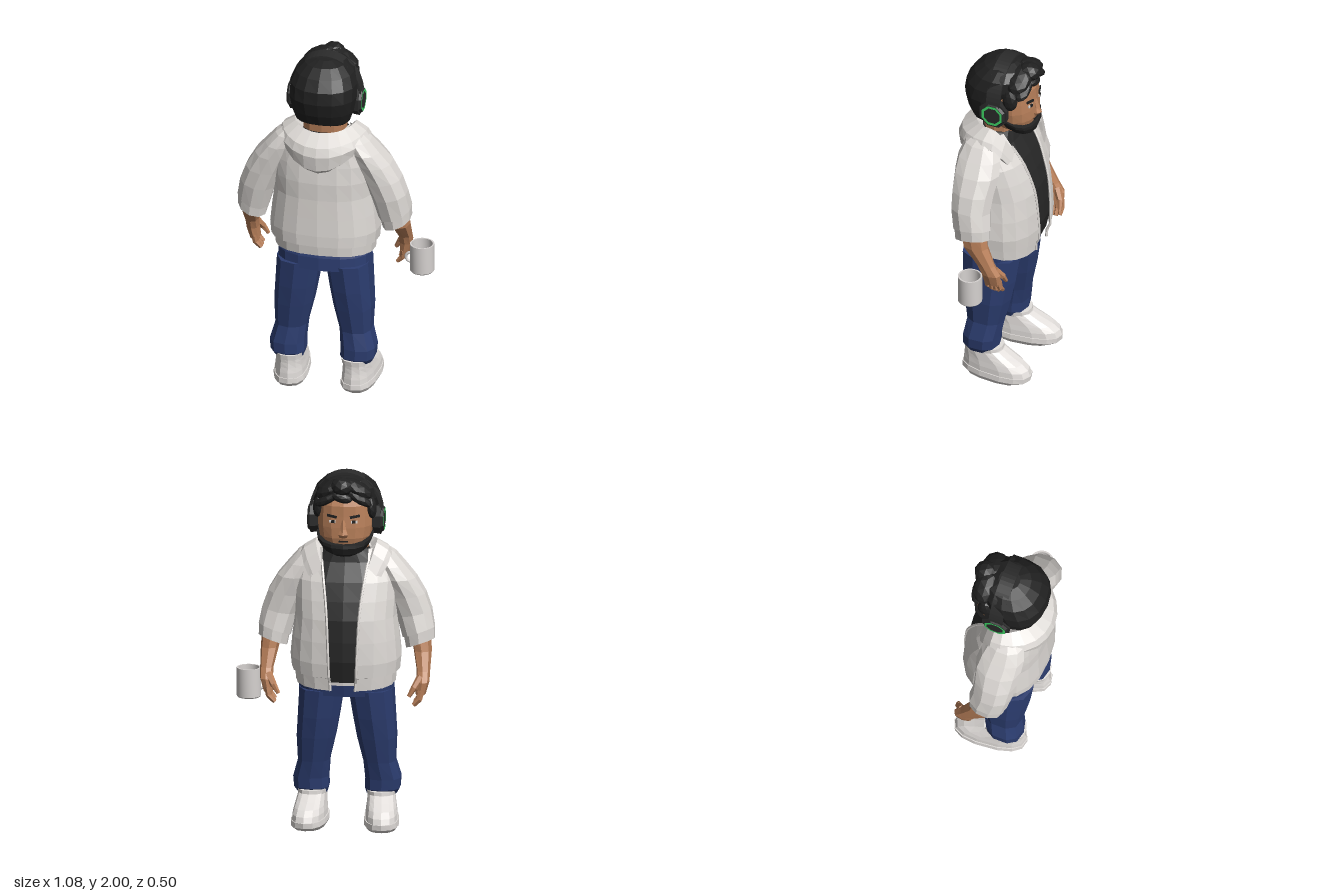
import * as THREE from 'three';
import { toCreasedNormals } from 'three/addons/utils/BufferGeometryUtils.js';

const mat = (name, color, side = THREE.FrontSide) => {
  const m = new THREE.MeshStandardMaterial({ color, side });
  m.name = name;
  return m;
};

// Closed or open cross-section at height y; angle 0 faces -z and turns towards +x
const spow = (v, e) => Math.sign(v) * Math.abs(v) ** e;
function ring(y, cx, rx, zb, zf, { n = 12, p = 2.4, tx = 0, tz = 0, from = 0, to = Math.PI * 2 } = {}) {
  const cz = (zb + zf) / 2, rz = (zb - zf) / 2, open = to - from < 6.28;
  return Array.from({ length: open ? n + 1 : n }, (_, i) => {
    const t = from + (to - from) * i / n;
    const x = rx * spow(Math.sin(t), 2 / p), z = -rz * spow(Math.cos(t), 2 / p);
    return new THREE.Vector3(cx + x, y + tx * x + tz * z, cz + z);
  });
}

// Faceted skin over cross-sections listed from bottom to top
function loft(rows, closed = true) {
  const pos = [], tri = (...v) => v.forEach(q => pos.push(q.x, q.y, q.z));
  const n = rows[0].length, m = closed ? n : n - 1;
  for (let i = 0; i < rows.length - 1; i++) for (let j = 0; j < m; j++) {
    const k = (j + 1) % n, a = rows[i][j], b = rows[i][k], c = rows[i + 1][k], d = rows[i + 1][j];
    tri(a, c, b);
    tri(a, d, c);
  }
  if (closed) [rows[0], rows[rows.length - 1]].forEach((r, top) => {
    const c = r.reduce((s, v) => s.add(v), new THREE.Vector3()).divideScalar(n);
    r.forEach((a, j) => { const b = r[(j + 1) % n]; top ? tri(b, a, c) : tri(a, b, c); });
  });
  const g = new THREE.BufferGeometry();
  g.setAttribute('position', new THREE.Float32BufferAttribute(pos, 3));
  g.computeVertexNormals();
  return g;
}

const flat = g => {
  const f = g.index ? g.toNonIndexed() : g;
  f.computeVertexNormals();
  return f;
};

export function createModel() {
  const hoodie = mat('hoodie fabric', 0xdcd8d4, THREE.DoubleSide);
  const shoeMat = mat('shoe white', 0xe2dedb);
  const jeans = mat('denim', 0x2c3d70);
  const skin = mat('skin', 0xb9805a);
  const hair = mat('hair', 0x202020);
  const shirtMat = mat('shirt black', 0x262626);
  const phones = mat('headphone black', 0x2b2b2b);
  const green = mat('green light', 0x40d868);
  const mugMat = mat('mug ceramic', 0xd6d2d0);

  const model = new THREE.Group(), person = new THREE.Group();
  model.name = 'figureWithMug';
  person.name = 'person';
  person.position.x = -0.055;
  model.add(person);
  const add = (name, geo, material, parent = person) => {
    const m = new THREE.Mesh(geo, material);
    m.name = name;
    parent.add(m);
    return m;
  };
  // Each row: y, centre x, half width, back z, front z, optional tilt
  const body = (name, rows, material, opt) =>
    add(name, loft(rows.map(([y, cx, rx, zb, zf, tilt]) => ring(y, cx, rx, zb, zf, { ...opt, ...tilt }))), material);
  const limb = (name, a, b, r0, r1, material) => {
    const A = new THREE.Vector3(...a), B = new THREE.Vector3(...b), d = B.clone().sub(A);
    const m = add(name, flat(new THREE.CylinderGeometry(r1, r0, d.length(), 6)), material);
    m.position.copy(A).add(B).multiplyScalar(0.5);
    m.quaternion.setFromUnitVectors(new THREE.Vector3(0, 1, 0), d.normalize());
  };

  // Trousers, and the pale hem showing below the shirt
  body('hips', [[0.755, 0, 0.262, 0.184, -0.152], [0.83, 0, 0.262, 0.18, -0.165], [0.9, 0, 0.24, 0.16, -0.17]], jeans, { n: 16, p: 2.4 });
  body('undershirtHem', [[0.83, 0, 0.2, 0.1, -0.204], [0.86, 0, 0.2, 0.1, -0.204]], mugMat, { n: 16 });

  for (const s of [1, -1]) {
    const side = s > 0 ? 'right' : 'left';
    // Legs, bunched at the ankle
    body(side + 'Leg', [
      [0.17, s * 0.19, 0.085, 0.13, -0.03], [0.2, s * 0.195, 0.098, 0.15, -0.055], [0.26, s * 0.198, 0.1, 0.15, -0.06],
      [0.36, s * 0.18, 0.09, 0.135, -0.078], [0.5, s * 0.166, 0.11, 0.155, -0.11],
      [0.62, s * 0.152, 0.117, 0.17, -0.132], [0.78, s * 0.135, 0.125, 0.182, -0.152]], jeans, { n: 10, p: 2.5 });

    // Shoes with a thick sole and an ankle collar
    const shoe = new THREE.Group();
    shoe.name = side + 'Shoe';
    shoe.position.x = s * 0.192;
    shoe.rotation.y = -s * 0.09;
    person.add(shoe);
    const shoePart = (name, rows) => add(name, loft(rows.map(r => ring(...r, { n: 14, p: 2.5 }))), shoeMat, shoe);
    shoePart('sole', [[0, 0, 0.085, 0.14, -0.2], [0.025, 0, 0.098, 0.165, -0.248], [0.055, 0, 0.095, 0.165, -0.252]]);
    shoePart('shoeUpper', [[0.055, 0, 0.09, 0.16, -0.247], [0.085, 0, 0.088, 0.158, -0.235], [0.115, 0, 0.083, 0.153, -0.198],
      [0.145, 0, 0.079, 0.15, -0.135], [0.175, 0, 0.075, 0.15, -0.08]]);
    shoePart('shoeCollar', [[0.165, 0, 0.078, 0.154, -0.076], [0.195, 0, 0.082, 0.158, -0.074]]);

    // Sleeves with a slanted, turned cuff
    const slant = { tx: s * 0.36, tz: -0.15 };
    body(side + 'Cuff', [[1.03, s * 0.405, 0.08, 0.112, -0.085], [1.1, s * 0.398, 0.086, 0.12, -0.083]], hoodie, { n: 10, p: 2.1, ...slant });
    body(side + 'Sleeve', [
      [1.09, s * 0.396, 0.09, 0.127, -0.09, slant], [1.2, s * 0.37, 0.098, 0.15, -0.075, { tx: s * 0.2 }],
      [1.3, s * 0.332, 0.104, 0.16, -0.08, { tx: s * 0.1 }], [1.4, s * 0.283, 0.1, 0.168, -0.092],
      [1.47, s * 0.24, 0.084, 0.168, -0.08], [1.535, s * 0.19, 0.078, 0.148, -0.055], [1.575, s * 0.16, 0.05, 0.1, -0.02]], hoodie, { n: 10, p: 2.1 });

    // Forearm and palm
    body(side + 'Forearm', [
      [0.775, s * 0.418, 0.028, -0.065, -0.165], [0.845, s * 0.43, 0.036, -0.052, -0.165], [0.9, s * 0.43, 0.037, -0.028, -0.13],
      [1.0, s * 0.42, 0.05, 0.06, -0.085], [1.1, s * 0.405, 0.058, 0.08, -0.065]], skin, { n: 8 });
    // Curled fingers and thumb
    for (let i = 0; i < 4; i++) {
      const z = -0.078 - i * 0.024, drop = i === 1 || i === 2 ? 0.01 : 0;
      limb(side + 'Finger', [s * 0.42, 0.8, z], [s * 0.412, 0.752 - drop, z - 0.006], 0.018, 0.016, skin);
      limb(side + 'FingerTip', [s * 0.414, 0.757 - drop, z - 0.006], [s * 0.382, 0.722 - drop, z - 0.008], 0.016, 0.011, skin);
    }
    limb(side + 'Thumb', [s * 0.42, 0.87, -0.125], [s * 0.385, 0.815, -0.16], 0.024, 0.018, skin);
    limb(side + 'ThumbTip', [s * 0.387, 0.82, -0.158], [s * 0.358, 0.77, -0.168], 0.018, 0.011, skin);
  }

  // Shirt
  body('shirt', [
    [0.85, 0, 0.25, 0.17, -0.212], [0.97, 0, 0.27, 0.19, -0.236], [1.08, 0, 0.262, 0.19, -0.231], [1.2, 0, 0.25, 0.185, -0.219],
    [1.3, 0, 0.25, 0.18, -0.191], [1.4, 0, 0.25, 0.17, -0.154], [1.5, 0, 0.2, 0.15, -0.095], [1.57, 0, 0.13, 0.11, -0.08]], shirtMat, { n: 18 });

  // Open jacket; the last number of each row is half the front gap
  const jacketRows = [
    [0.83, 0.275, 0.195, -0.222, 0.068], [0.895, 0.28, 0.2, -0.228, 0.073], [0.9, 0.298, 0.222, -0.238, 0.074], [0.97, 0.305, 0.222, -0.243, 0.077],
    [1.08, 0.295, 0.216, -0.238, 0.082], [1.2, 0.28, 0.21, -0.226, 0.088], [1.3, 0.282, 0.21, -0.2, 0.097], [1.4, 0.28, 0.2, -0.165, 0.11],
    [1.5, 0.245, 0.19, -0.11, 0.125], [1.57, 0.18, 0.15, -0.07, 0.125]].map(([y, rx, zb, zf, gap]) => {
    const from = Math.asin((gap / rx) ** 1.2);
    return ring(y, 0, rx, zb, zf, { n: 18, from, to: Math.PI * 2 - from, tz: Math.max(0, 0.12 - (y - 0.83) * 0.4) });
  });
  add('jacket', loft(jacketRows, false), hoodie);
  for (const j of [0, 18]) {
    const path = new THREE.CatmullRomCurve3(jacketRows.slice(0, 9).map(r => r[j]));
    add('jacketFrontEdge', flat(new THREE.TubeGeometry(path, 16, 0.008, 5)), hoodie);
  }

  // Hood lying on the back: half width, back z, front z, heights at side and back
  const hoodRows = [
    [0.2, 0.2, 0.14, 1.5, 1.365], [0.24, 0.245, 0.165, 1.515, 1.4], [0.255, 0.253, 0.175, 1.54, 1.485],
    [0.235, 0.235, 0.175, 1.57, 1.535], [0.17, 0.15, 0.165, 1.61, 1.59], [0.135, 0.105, 0.14, 1.575, 1.55]];
  add('hood', loft(hoodRows.map(([rx, zb, zf, ys, yb]) => Array.from({ length: 17 }, (_, i) => {
    const t = Math.PI * (0.26 + 1.48 * i / 16), c = Math.cos(t);
    return new THREE.Vector3(rx * Math.sin(t), ys + (c < 0 ? yb - ys : -0.3) * c * c, c < 0 ? -zb * c : -zf * c);
  })), false), hoodie);

  // Neck, head and nose
  body('neck', [[1.5, 0, 0.12, 0.1, -0.08], [1.64, 0, 0.125, 0.11, -0.09]], skin, { n: 12 });
  body('head', [
    [1.57, 0, 0.07, 0, -0.14], [1.6, 0, 0.115, 0.05, -0.174], [1.66, 0, 0.145, 0.1, -0.19], [1.72, 0, 0.155, 0.1, -0.19],
    [1.78, 0, 0.155, 0.1, -0.186], [1.84, 0, 0.15, 0.1, -0.184], [1.9, 0, 0.13, 0.1, -0.16]], skin, { n: 16, p: 2.3 });
  body('nose', [[1.666, 0, 0.024, -0.15, -0.203], [1.686, 0, 0.03, -0.15, -0.222], [1.715, 0, 0.018, -0.15, -0.21], [1.765, 0, 0.012, -0.15, -0.192]], skin, { n: 6, p: 2 });

  // Beard along the jaw, rising towards the ears
  body('beard', [[1.59, 0, 0.09, 0.02, -0.162], [1.615, 0, 0.128, 0.04, -0.187], [1.655, 0, 0.153, 0.05, -0.199], [1.673, 0, 0.158, 0.05, -0.196]],
    hair, { n: 16, p: 2.3, tz: 0.42 });

  // Eyes, brows and mouth
  const plate = (name, w, h, x, y, z, ry, rz, material) => {
    const m = add(name, new THREE.BoxGeometry(w, h, 0.008), material);
    m.position.set(x, y, z);
    m.rotation.set(0, ry, rz);
  };
  for (const s of [1, -1]) {
    plate('eyeWhite', 0.036, 0.013, s * 0.06, 1.755, -0.18, -s * 0.25, 0, shoeMat);
    plate('iris', 0.018, 0.015, s * 0.057, 1.755, -0.183, -s * 0.25, 0, hair);
    plate('eyebrow', 0.055, 0.013, s * 0.063, 1.785, -0.18, -s * 0.28, s * 0.15, hair);
  }
  plate('mouth', 0.05, 0.008, 0, 1.644, -0.187, 0, 0, hair);

  // Hair: rounded mass at the back, locks swept up and to the sides in front
  body('hairBack', [
    [1.615, 0, 0.12, 0.11, -0.01], [1.645, 0, 0.15, 0.165, -0.04], [1.71, 0, 0.172, 0.195, -0.065], [1.79, 0, 0.188, 0.215, -0.095],
    [1.86, 0, 0.186, 0.205, -0.14], [1.92, 0, 0.162, 0.165, -0.155], [1.965, 0, 0.115, 0.11, -0.125], [1.985, 0, 0.055, 0.05, -0.07]], hair, { n: 16, p: 2.2 });
  [[0.01, 1.945, -0.15, 0.065, 0.052, 0.066, 0.1], [0.075, 1.925, -0.12, 0.095, 0.042, 0.07, -0.5], [-0.07, 1.93, -0.12, 0.095, 0.042, 0.07, 0.5],
    [0.085, 1.88, -0.15, 0.085, 0.03, 0.045, -0.55], [-0.08, 1.885, -0.15, 0.085, 0.03, 0.045, 0.55], [0.01, 1.89, -0.175, 0.06, 0.03, 0.032, 0.25],
    [0.145, 1.82, -0.095, 0.03, 0.065, 0.045, 0.1], [-0.145, 1.82, -0.095, 0.03, 0.065, 0.045, -0.1]
  ].forEach(([x, y, z, sx, sy, sz, r]) => {
    const lock = add('hairLock', flat(new THREE.IcosahedronGeometry(1, 1).scale(sx, sy, sz)), hair);
    lock.position.set(x, y, z);
    lock.rotation.z = r;
  });

  // Headphones: band, padded cups and lit octagons on their outer faces
  const arch = new THREE.Shape();
  arch.absellipse(0, 1.77, 0.203, 0.23, 0, Math.PI, false);
  arch.absellipse(0, 1.77, 0.19, 0.217, Math.PI, 0, true);
  add('headband', new THREE.ExtrudeGeometry(arch, { depth: 0.08, bevelEnabled: false, curveSegments: 14 }).translate(0, 0, -0.055), phones);
  for (const s of [1, -1]) {
    const disc = (name, r0, r1, w, x) => {
      const g = new THREE.CylinderGeometry(r0, r1, w, 8).rotateY(Math.PI / 8).rotateZ(-s * Math.PI / 2);
      add(name, flat(g.translate(s * x, 1.735, -0.015)), phones);
    };
    disc('earPad', 0.086, 0.08, 0.045, 0.172);
    disc('earCup', 0.066, 0.078, 0.018, 0.2);
    const light = new THREE.RingGeometry(0.05, 0.065, 8, 1, Math.PI / 8).rotateY(s * Math.PI / 2);
    add('earLight', light.translate(s * 0.211, 1.735, -0.015), green);
  }

  // Mug beside the right hand
  const mug = new THREE.Group();
  mug.name = 'mug';
  mug.position.set(0.479, 0.712, -0.03);
  model.add(mug);
  const profile = [[0, 0], [0.062, 0], [0.067, 0.006], [0.067, 0.165], [0.058, 0.165], [0.058, 0.015], [0, 0.015]].map(q => new THREE.Vector2(...q));
  add('mugBody', toCreasedNormals(new THREE.LatheGeometry(profile, 28), 0.6), mugMat, mug);
  add('mugHandle', new THREE.TorusGeometry(0.028, 0.008, 8, 14, Math.PI).rotateZ(Math.PI / 2).translate(-0.063, 0.075, 0), mugMat, mug);
  return model;
}
